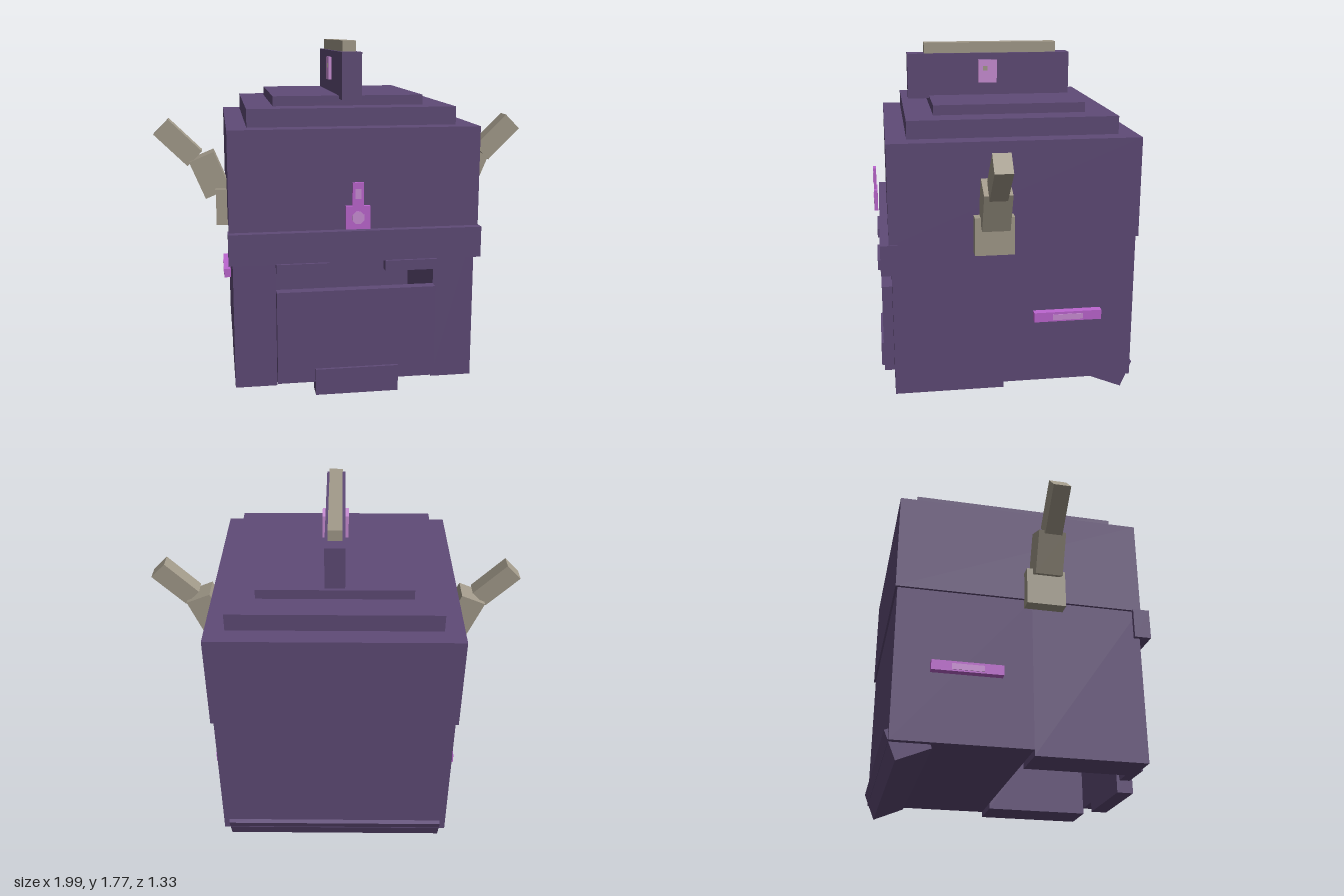
import * as THREE from 'three';

const material = (name, color) => {
  const m = new THREE.MeshStandardMaterial({ color });
  m.name = name;
  return m;
};

export function createModel() {
  const model = new THREE.Group();
  model.name = 'boxyHeadModel';
  const purple = material('purple', 0x5f4b77);
  const stone = material('stone', 0xa39b8b);
  const magenta = material('magenta', 0xbd66d0);
  const pink = material('palePink', 0xcb8fd6);

  // Box from its extents on each axis
  const box = (name, mat, [x0, x1], [y0, y1], [z0, z1]) => {
    const mesh = new THREE.Mesh(new THREE.BoxGeometry(x1 - x0, y1 - y0, z1 - z0), mat);
    mesh.position.set((x0 + x1) / 2, (y0 + y1) / 2, (z0 + z1) / 2);
    mesh.name = name;
    model.add(mesh);
    return mesh;
  };
  // The same, centred on x
  const mid = (name, mat, half, y, z) => box(name, mat, [-half, half], y, z);
  // Box from its extents on the left, mirrored to the right
  const pair = (name, mat, [x0, x1], y, z, tilt = 0) => {
    for (const s of [1, -1]) {
      const x = s > 0 ? [x0, x1] : [-x1, -x0];
      box((s > 0 ? 'left' : 'right') + name, mat, x, y, z).rotation.z = s * tilt;
    }
  };

  // Lower body: rear block and two front legs around an open recess
  mid('rearBody', purple, 0.61, [0.09, 0.86], [-0.64, 0.03]);
  pair('FrontLeg', purple, [0.4, 0.61], [0.06, 0.86], [0.03, 0.587]);

  // Jaw door, lip and teeth
  mid('jawDoor', purple, 0.4, [0.09, 0.565], [0.585, 0.64]);
  mid('lowerLip', purple, 0.21, [0.025, 0.16], [0.57, 0.655]);
  pair('Tooth', purple, [0.14, 0.4], [0.66, 0.712], [0.597, 0.655]);

  // Tilted flap under the back
  mid('rearFlap', purple, 0.58, [0.033, 0.183], [-0.638, -0.462]).rotation.x = -0.39;

  // Upper head, brow band and stepped roof
  mid('upperHead', purple, 0.624, [0.86, 1.365], [-0.65, 0.597]);
  mid('browBand', purple, 0.63, [0.71, 0.865], [0.555, 0.64]);
  mid('roofLowerStep', purple, 0.525, [1.365, 1.455], [-0.555, 0.495]);
  mid('roofUpperStep', purple, 0.386, [1.455, 1.505], [-0.415, 0.355]);

  // Crest with cap and side badges
  mid('crest', purple, 0.05, [1.49, 1.725], [-0.4, 0.465]);
  mid('crestCap', stone, 0.035, [1.725, 1.78], [-0.328, 0.375]);
  pair('CrestBadge', pink, [0.05, 0.067], [1.57, 1.69], [-0.008, 0.09]);
  pair('CrestBadgeStud', stone, [0.067, 0.069], [1.633, 1.657], [0.043, 0.067]);

  // Three-part horns, bending outwards
  pair('HornBase', stone, [0.615, 0.682], [0.812, 1.004], [-0.012, 0.184]);
  pair('HornMiddle', stone, [0.641, 0.781], [0.969, 1.183], [0.018, 0.155], -Math.PI / 8);
  pair('HornTip', stone, [0.817, 0.927], [1.128, 1.37], [0.045, 0.132], -Math.PI / 4);

  // Side handles
  pair('Handle', magenta, [0.61, 0.648], [0.43, 0.48], [-0.467, -0.12]);
  pair('HandleInlay', pink, [0.648, 0.651], [0.438, 0.468], [-0.37, -0.215]);

  // Front latch
  mid('latchBase', magenta, 0.06, [0.88, 0.995], [0.645, 0.664]);
  mid('latchStem', magenta, 0.028, [0.995, 1.11], [0.649, 0.664]);
  mid('latchStemInlay', pink, 0.014, [1.03, 1.08], [0.664, 0.667]);
  const inlay = new THREE.Mesh(new THREE.CylinderGeometry(0.033, 0.033, 0.003, 8), pink);
  inlay.name = 'latchBaseInlay';
  inlay.geometry.rotateY(Math.PI / 8).rotateX(Math.PI / 2);
  inlay.position.set(0, 0.937, 0.6655);
  model.add(inlay);

  return model;
}
